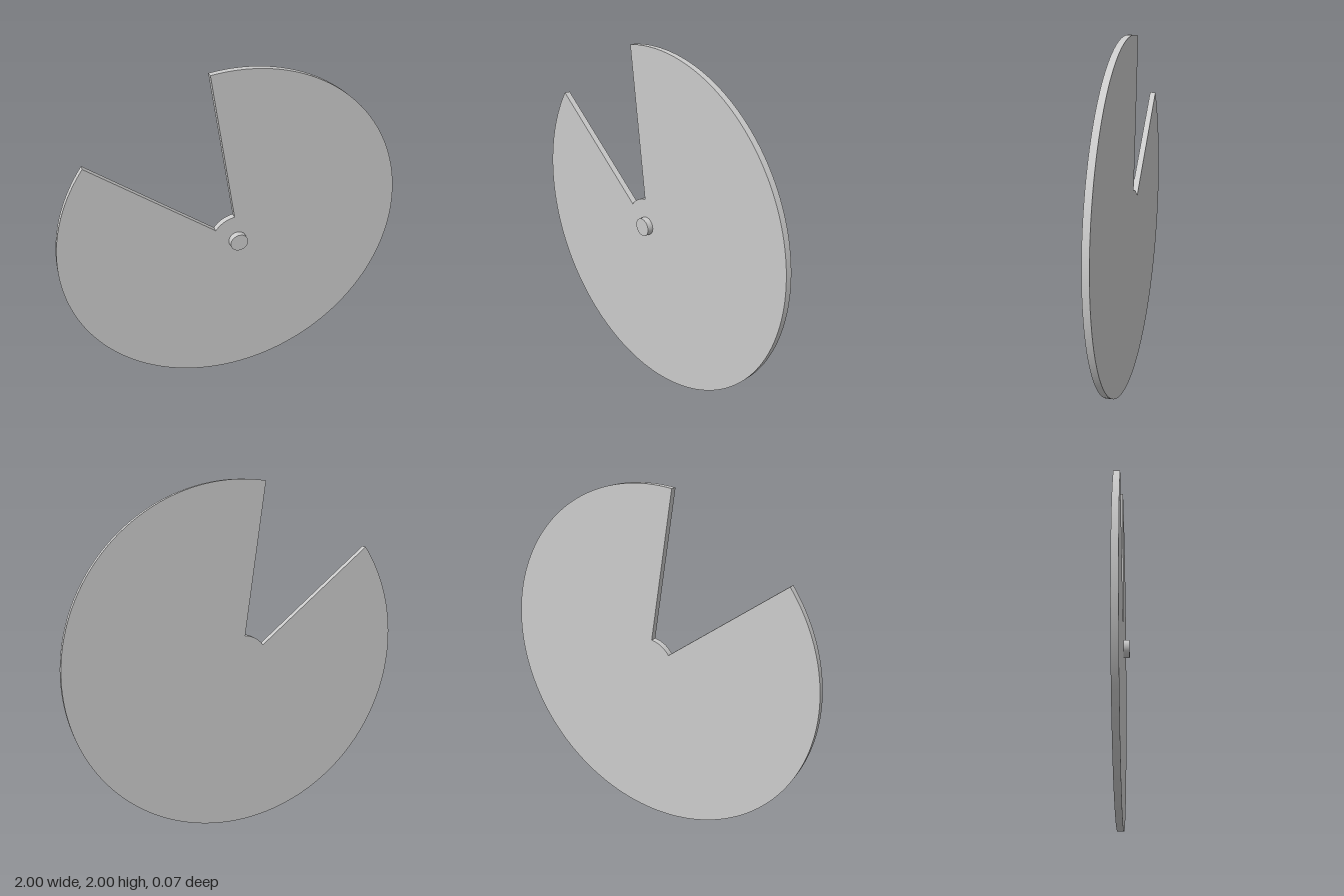
import * as THREE from 'three';
import { toCreasedNormals } from 'three/addons/utils/BufferGeometryUtils.js';

const rad = THREE.MathUtils.degToRad;
const THICKNESS = 0.035;

export function createModel() {
  const group = new THREE.Group();
  group.name = 'notchedDisc';
  const material = new THREE.MeshStandardMaterial({ color: 0xcccccc });

  // Disc with a wedge cut out of its upper right side, rounded around the hub
  const outline = new THREE.Shape();
  outline.absarc(0, 0, 1, rad(142.3), rad(360 + 97.8), false);
  outline.absarc(0, 0, 0.157, rad(96), rad(144.5), false);
  outline.closePath();
  const discGeometry = new THREE.ExtrudeGeometry(outline, {
    depth: THICKNESS, bevelEnabled: false, curveSegments: 96,
  });
  const disc = new THREE.Mesh(toCreasedNormals(discGeometry, rad(25)), material);
  disc.name = 'disc';
  disc.position.set(0, 1, -THICKNESS);
  group.add(disc);

  // Short pin on the front at the centre
  const pinGeometry = new THREE.CylinderGeometry(0.052, 0.052, THICKNESS, 48);
  pinGeometry.rotateX(Math.PI / 2);
  const pin = new THREE.Mesh(pinGeometry, material);
  pin.name = 'centrePin';
  pin.position.set(0, 1, THICKNESS / 2);
  group.add(pin);

  return group;
}
